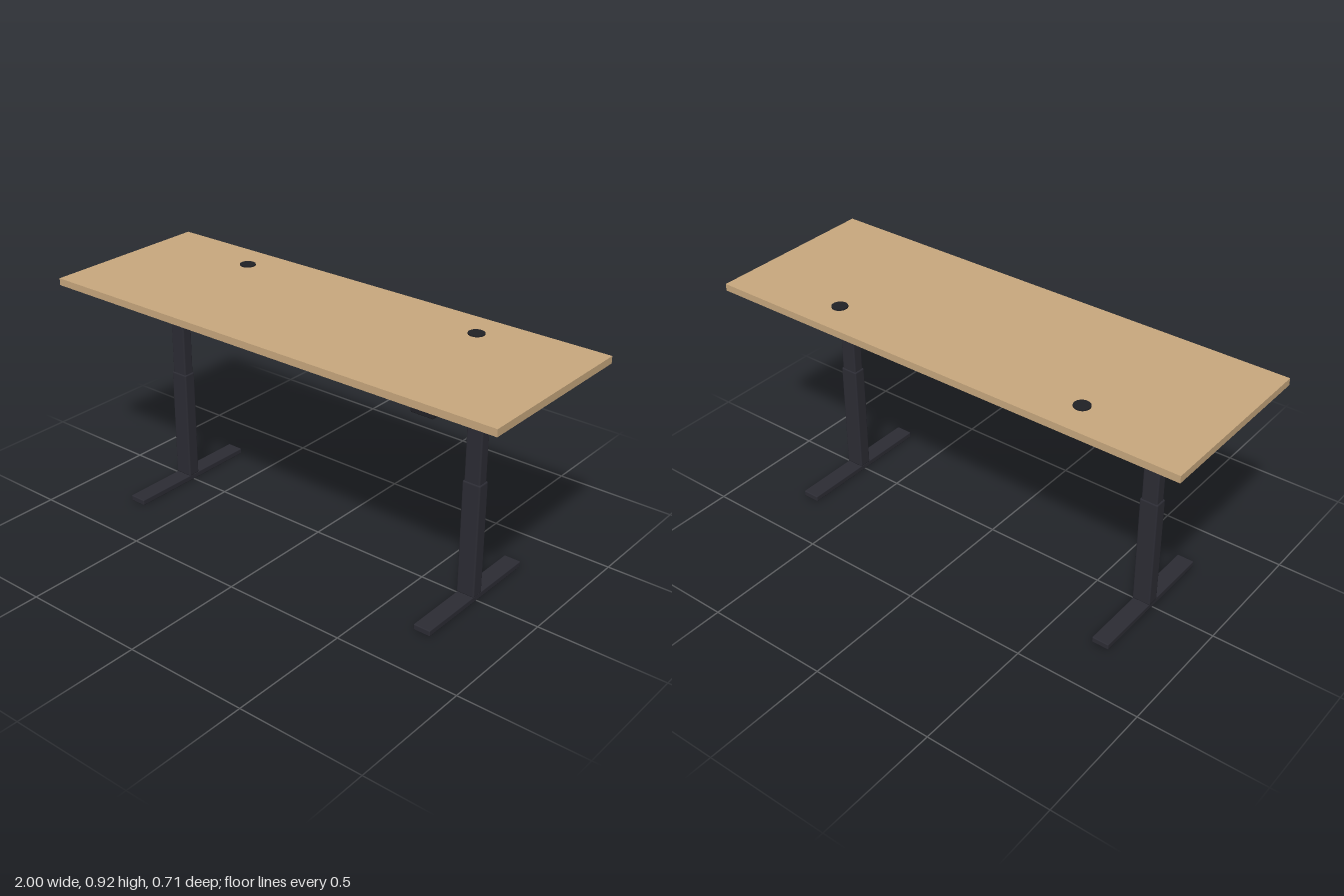
import * as THREE from 'three';
import { RoundedBoxGeometry } from 'three/addons/geometries/RoundedBoxGeometry.js';

export function createModel() {
  const desk = new THREE.Group();
  desk.name = 'standingDesk';

  const material = (name, color) => {
    const m = new THREE.MeshStandardMaterial({ color });
    m.name = name;
    return m;
  };
  const wood = material('lightWood', 0xc8a87e);
  const metal = material('darkMetal', 0x2c2c34);
  const plastic = material('blackPlastic', 0x202126);

  const add = (parent, name, geometry, mat, x, y, z) => {
    const mesh = new THREE.Mesh(geometry, mat);
    mesh.name = name;
    mesh.position.set(x, y, z);
    parent.add(mesh);
    return mesh;
  };

  // Softly rounded bar standing between two heights
  const bar = (parent, name, mat, x, z, width, depth, y0, y1, radius) =>
    add(parent, name, new RoundedBoxGeometry(width, y1 - y0, depth, 2, radius), mat, x, (y0 + y1) / 2, z);

  // Tabletop
  add(desk, 'tabletop', new THREE.BoxGeometry(2, 0.028, 0.706), wood, 0, 0.904, 0);

  for (const side of [1, -1]) {
    // Telescoping leg with foot and top bracket
    const leg = new THREE.Group();
    leg.name = side > 0 ? 'leftLeg' : 'rightLeg';
    leg.position.x = side * 0.708;
    desk.add(leg);
    bar(leg, 'foot', metal, 0, 0, 0.07, 0.584, 0, 0.024, 0.004);
    bar(leg, 'lowerColumn', metal, 0, 0, 0.075, 0.052, 0.022, 0.483, 0.006);
    bar(leg, 'upperColumn', metal, 0, 0, 0.066, 0.045, 0.47, 0.877, 0.006);
    bar(leg, 'topBracket', metal, 0, 0, 0.045, 0.5, 0.865, 0.89, 0.004);

    // Cable grommet
    const grommet = new THREE.Group();
    grommet.name = side > 0 ? 'leftGrommet' : 'rightGrommet';
    grommet.position.set(side * 0.54, 0, -0.218);
    desk.add(grommet);
    add(grommet, 'grommetCap', new THREE.CylinderGeometry(0.031, 0.031, 0.008, 32), plastic, 0, 0.919, 0);
  }

  // Crossbeam joining the legs
  bar(desk, 'crossbeam', metal, 0, 0, 1.4, 0.04, 0.857, 0.889, 0.004);

  // Height control under the front edge
  bar(desk, 'heightControl', plastic, 0.71, 0.318, 0.09, 0.05, 0.867, 0.888, 0.004);

  return desk;
}
